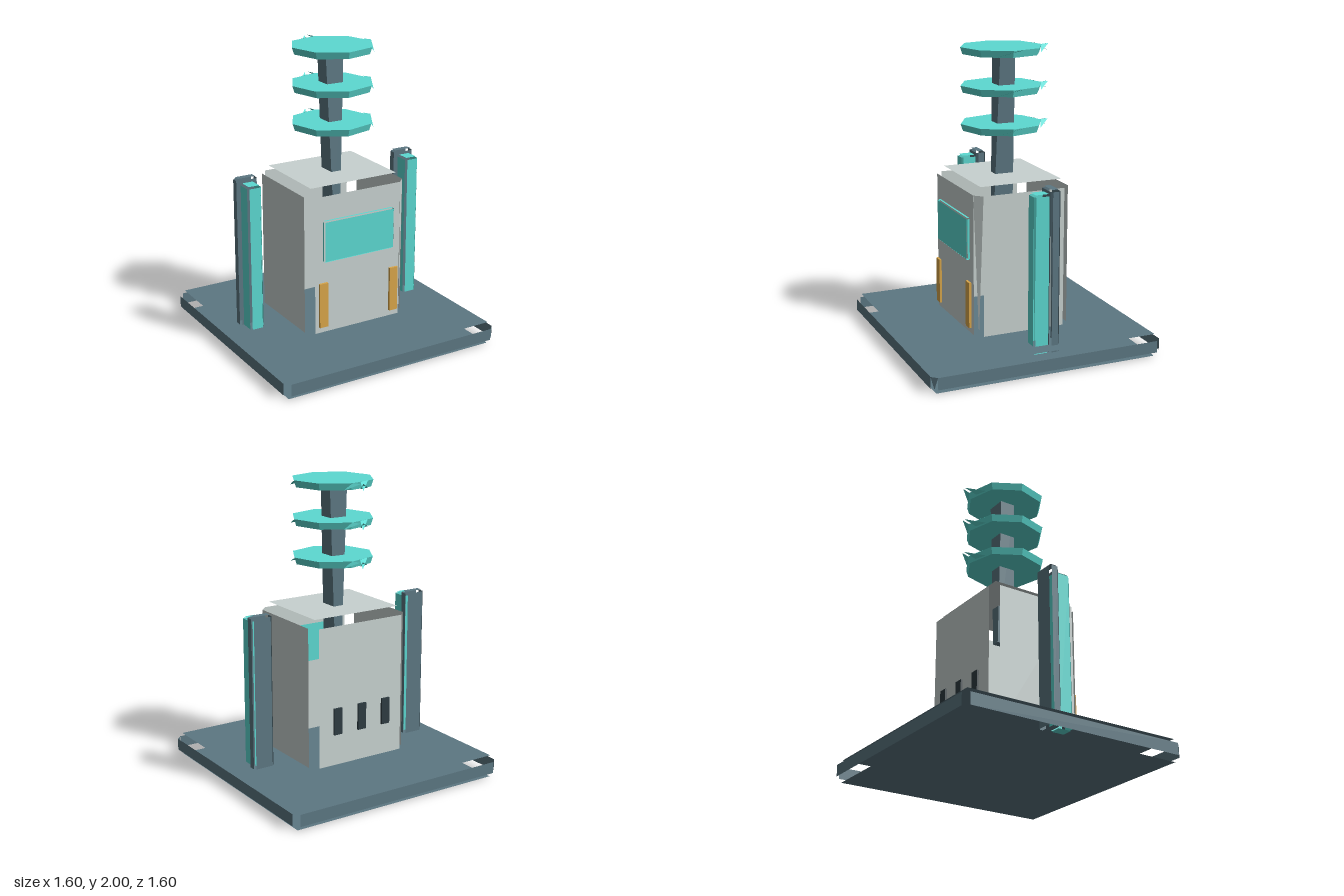
import * as THREE from 'three';
import { mergeGeometries } from 'three/addons/utils/BufferGeometryUtils.js';

const mat = (color) => new THREE.MeshStandardMaterial({ color, flatShading: true, side: THREE.DoubleSide });
const slate = mat(0x5c7782), cyan = mat(0x5cd9d1), pale = mat(0xc8d2d0), amber = mat(0xd9a64a), dark = mat(0x2e3c42);

// Six separate face panels, each pushed out by b, leaving the box edges open;
// one tapering sliver closes part of the front left corner.
function panelBox(w, h, d, b) {
  const parts = [];
  for (const s of [1, -1]) {
    const turn = s > 0 ? 0 : Math.PI;
    parts.push(new THREE.PlaneGeometry(w, h).rotateY(turn).translate(0, 0, s * (d / 2 + b)));
    parts.push(new THREE.PlaneGeometry(d, h).rotateY(s * Math.PI / 2).translate(s * (w / 2 + b), 0, 0));
    parts.push(new THREE.PlaneGeometry(w, d).rotateX(-s * Math.PI / 2).translate(0, s * (h / 2 + b), 0));
  }
  parts.push(triangles([
    [w / 2, h / 2, d / 2 + b], [w / 2 + b / 2, -h / 2, d / 2 + b / 2], [w / 2 + b, h / 2, d / 2],
  ]));
  const clean = parts.map((p) => {
    const g = p.index ? p.toNonIndexed() : p;
    g.deleteAttribute('uv');
    return g;
  });
  return mergeGeometries(clean);
}

function triangles(points) {
  const g = new THREE.BufferGeometry();
  g.setAttribute('position', new THREE.Float32BufferAttribute(points.flat(), 3));
  g.computeVertexNormals();
  return g;
}

export function createModel() {
  const model = new THREE.Group();
  const add = (name, geometry, material, x, y, z) => {
    const mesh = new THREE.Mesh(geometry, material);
    mesh.name = name;
    mesh.position.set(x, y, z);
    model.add(mesh);
    return mesh;
  };

  // Base slab and cabinet
  add('base', panelBox(1.53, 0.08, 1.53, 0.036), slate, 0, 0.08, 0);
  add('cabinet', panelBox(0.65, 0.945, 0.57, 0.05), pale, 0, 0.632, 0);

  // Screen and side lights on the front
  add('screen', panelBox(0.52, 0.27, 0.014, 0.007), cyan, 0, 0.8, 0.345);
  for (const s of [-1, 1]) {
    add('frontLight', new THREE.BoxGeometry(0.062, 0.31, 0.016), amber, s * 0.271, 0.36, 0.351);
  }

  // Vents on the back
  for (const x of [-0.19, 0, 0.19]) {
    add('vent', new THREE.BoxGeometry(0.062, 0.18, 0.014), dark, x, 0.465, -0.348);
  }

  // Side pillars: slate slab behind a cyan light bar
  for (const s of [-1, 1]) {
    add('pillarSlab', panelBox(0.124, 1.06, 0.044, 0.012), slate, s * 0.608, 0.64, -0.077);
    add('pillarLight', panelBox(0.076, 1.03, 0.09, 0.012), cyan, s * 0.608, 0.625, 0.003);
  }

  // Mast: widens upward across, narrows upward from front to back
  const mast = new THREE.BoxGeometry(1, 1.07, 1);
  const p = mast.attributes.position;
  for (let i = 0; i < p.count; i++) {
    const top = p.getY(i) > 0, front = p.getZ(i) > 0;
    p.setX(i, Math.sign(p.getX(i)) * (top ? 0.067 : 0.027));
    p.setZ(i, front ? (top ? 0.036 : 0.065) : -0.07);
  }
  mast.computeVertexNormals();
  add('mast', mast, slate, 0, 1.425, 0);

  // Eight-sided discs with ragged tips at the back and side
  for (const y of [1.473, 1.726, 1.977]) {
    const disc = new THREE.CylinderGeometry(0.277, 0.262, 0.046, 8).rotateY(Math.PI / 2 - 0.12);
    add('disc', disc, cyan, 0, y, 0);
    const h = 0.023;
    add('discTips', triangles([
      [-0.12, -h, -0.23], [-0.01, h, -0.335], [-0.04, -h, -0.26],
      [0.08, -h, -0.25], [0.01, h, -0.335], [0.03, h, -0.27],
      [-0.12, h, -0.23], [-0.01, -h, -0.335], [-0.04, h, -0.26],
      [0.27, h, -0.04], [0.295, h, 0.01], [0.23, -h, 0.15],
    ]), cyan, 0, y, 0);
  }
  return model;
}
